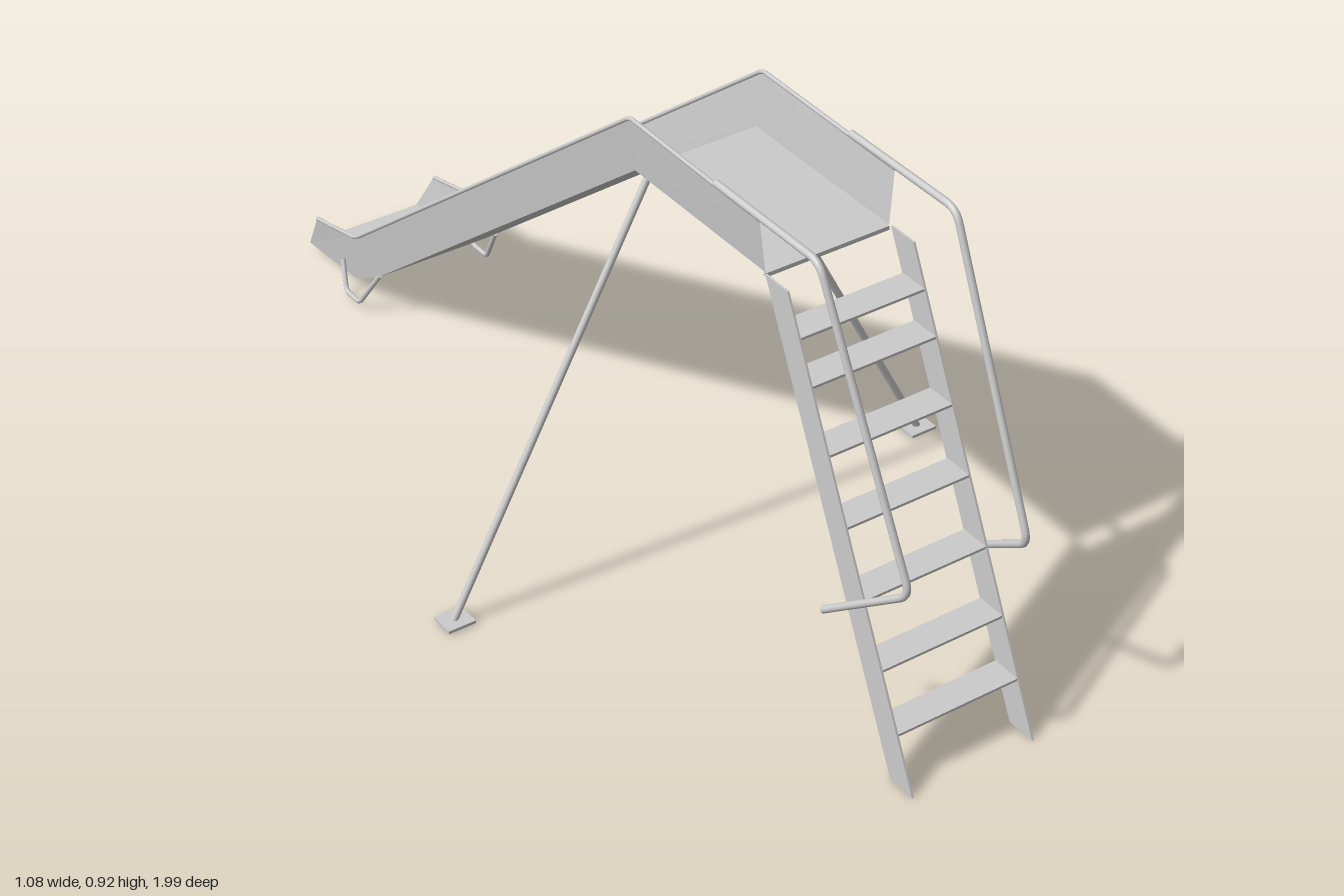
import * as THREE from 'three';

const material = new THREE.MeshStandardMaterial({ color: 0xcccccc, side: THREE.DoubleSide });
const sheetMaterial = new THREE.MeshStandardMaterial({ color: 0xcccccc, side: THREE.DoubleSide, flatShading: true });

// Chute stations: bed [z, y] and the top edge of the side wall [z, y]
const stations = [
  { bed: [0.555, 0.8], top: [0.55, 0.905] },
  { bed: [0.18, 0.8], top: [0.18, 0.91] },
  { bed: [-0.725, 0.08], top: [-0.775, 0.155] },
  { bed: [-0.805, 0.034], top: [-0.79, 0.147] },
  { bed: [-0.993, 0.018], top: [-0.935, 0.113] },
];
const BED_X = 0.126, TOP_X = 0.137;

function add(parent, name, geometry, mat = material) {
  const mesh = new THREE.Mesh(geometry, mat);
  mesh.name = name;
  parent.add(mesh);
  return mesh;
}

// Round pipe through points, with bends of the given size and closed ends
function pipe(parent, name, points, radius, bend = 0.02) {
  const p = points.map((a) => new THREE.Vector3(...a));
  const path = new THREE.CurvePath();
  let from = p[0];
  for (let i = 1; i < p.length - 1; i++) {
    const toward = (q) => p[i].clone().add(
      q.clone().sub(p[i]).setLength(Math.min(bend, p[i].distanceTo(q) * 0.45)));
    const a = toward(p[i - 1]), b = toward(p[i + 1]);
    path.add(new THREE.LineCurve3(from, a));
    path.add(new THREE.QuadraticBezierCurve3(a, p[i], b));
    from = b;
  }
  path.add(new THREE.LineCurve3(from, p[p.length - 1]));
  const group = new THREE.Group();
  group.name = name;
  add(group, name + 'Tube', new THREE.TubeGeometry(path, 120, radius, 10, false));
  for (const t of [0, 1]) {
    const cap = add(group, name + 'Cap', new THREE.CircleGeometry(radius, 10));
    cap.position.copy(path.getPoint(t));
    cap.quaternion.setFromUnitVectors(new THREE.Vector3(0, 0, 1),
      path.getTangent(t).multiplyScalar(t ? 1 : -1));
  }
  parent.add(group);
}

// Folded sheet: flared walls and bed swept through the stations
function chuteGeometry() {
  const rings = stations.map(({ bed, top }) => [
    [-TOP_X, top[1], top[0]], [-BED_X, bed[1], bed[0]],
    [BED_X, bed[1], bed[0]], [TOP_X, top[1], top[0]],
  ]);
  const position = [];
  for (let i = 0; i < rings.length - 1; i++) {
    for (let j = 0; j < 3; j++) {
      const a = rings[i][j], b = rings[i][j + 1], c = rings[i + 1][j + 1], d = rings[i + 1][j];
      position.push(...a, ...b, ...c, ...a, ...c, ...d);
    }
  }
  const geometry = new THREE.BufferGeometry();
  geometry.setAttribute('position', new THREE.Float32BufferAttribute(position, 3));
  geometry.computeVertexNormals();
  return geometry;
}

// Slanted ladder side plate, cut level at the ground and at the platform
function stringerGeometry() {
  const shape = new THREE.Shape([[-1, 0], [-0.94, 0], [-0.56, 0.8], [-0.62, 0.8]]
    .map((q) => new THREE.Vector2(...q)));
  const geometry = new THREE.ExtrudeGeometry(shape, { depth: 0.004, bevelEnabled: false });
  return geometry.translate(0, 0, -0.002).rotateY(Math.PI / 2);
}

export function createModel() {
  const model = new THREE.Group();
  model.name = 'playgroundSlide';

  // Platform, slope and run-out
  add(model, 'chute', chuteGeometry(), sheetMaterial);
  const lip = add(model, 'platformEdge', new THREE.BoxGeometry(0.25, 0.008, 0.008));
  lip.position.set(0, 0.795, 0.553);

  for (const side of [-1, 1]) {
    const prefix = side > 0 ? 'left' : 'right';
    const at = (x, y, z) => [side * x, y, z];

    // Rolled edge on the side wall
    pipe(model, prefix + 'WallRim',
      stations.map(({ top }) => at(TOP_X, top[1] - 0.002, top[0])), 0.004, 0.006);

    // Handrail beside the ladder
    pipe(model, prefix + 'Handrail', [
      at(0.137, 0.909, 0.43), at(0.137, 0.909, 0.71),
      at(0.122, 0.395, 0.957), at(0.155, 0.262, 0.775),
    ], 0.007, 0.025);

    // Ladder side
    const stringer = add(model, prefix + 'LadderSide', stringerGeometry());
    stringer.position.x = side * 0.128;

    // Splayed leg and its ground plate
    pipe(model, prefix + 'Leg', [at(0.095, 0.797, 0.185), at(0.515, 0.006, 0.185)], 0.007);
    const plate = add(model, prefix + 'FootPlate', new THREE.BoxGeometry(0.056, 0.006, 0.05));
    plate.position.set(side * 0.513, 0.006, 0.185);

    // Bent foot under the run-out
    pipe(model, prefix + 'RunOutFoot', [
      at(0.134, 0.103, -0.698), at(0.149, 0.012, -0.758),
      at(0.149, 0.012, -0.808), at(0.136, 0.066, -0.84),
    ], 0.005, 0.012);
  }

  // Ladder treads
  [0.1, 0.203, 0.315, 0.43, 0.543, 0.65, 0.725].forEach((y, i) => {
    const tread = add(model, 'tread' + (i + 1), new THREE.BoxGeometry(0.254, 0.005, 0.058));
    tread.position.set(0, y, 0.97 - 0.475 * y);
  });

  return model;
}
